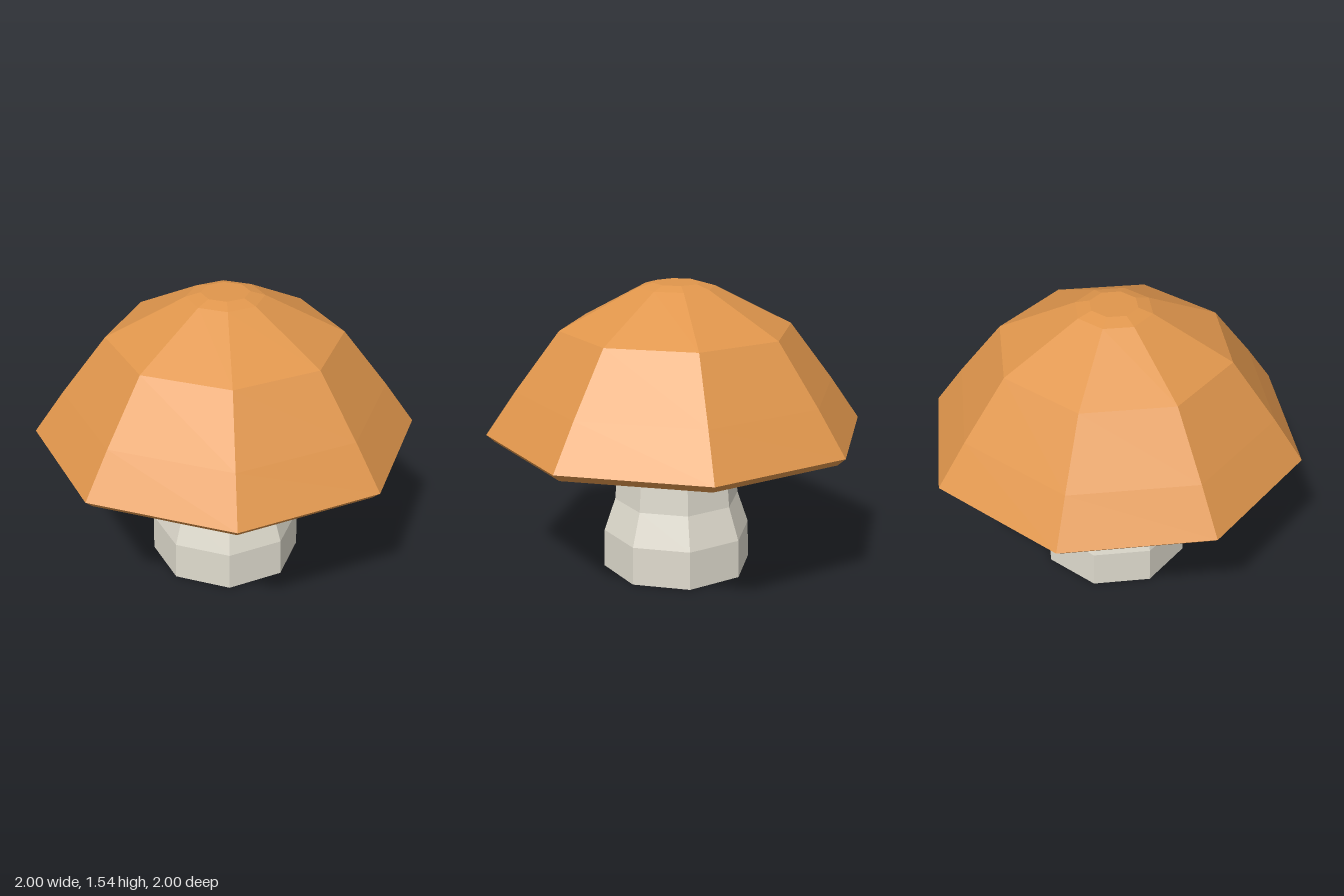
import * as THREE from 'three';

const SIDES = 8;

// Eight-sided faceted shell turned from [radius, height] pairs
function turned(name, color, profile) {
  const points = profile.map(([r, y]) => new THREE.Vector2(r, y));
  const material = new THREE.MeshStandardMaterial({ color, flatShading: true, side: THREE.DoubleSide });
  const mesh = new THREE.Mesh(new THREE.LatheGeometry(points, SIDES), material);
  mesh.name = name;
  return mesh;
}

export function createModel() {
  const group = new THREE.Group();
  group.name = 'mushroom';
  const cream = 0xdedacd;

  // Stem: flared foot, open at the bottom, tapering up into the cap
  group.add(turned('stem', cream, [[0.4, 0], [0.395, 0.205], [0.335, 0.38], [0.305, 0.73], [0.293, 0.85]]));

  // Shallow hollow under the cap, rising from the rim to the stem
  group.add(turned('capUnderside', cream, [[0.293, 0.85], [0.957, 0.73]]));

  // Cap: bevelled rim, bulging sides and a small flat crown
  group.add(turned('cap', 0xe0964c, [
    [0.957, 0.73], [1, 0.77], [0.843, 0.995], [0.61, 1.303], [0.2, 1.515], [0.125, 1.537], [0, 1.537],
  ]));

  return group;
}
